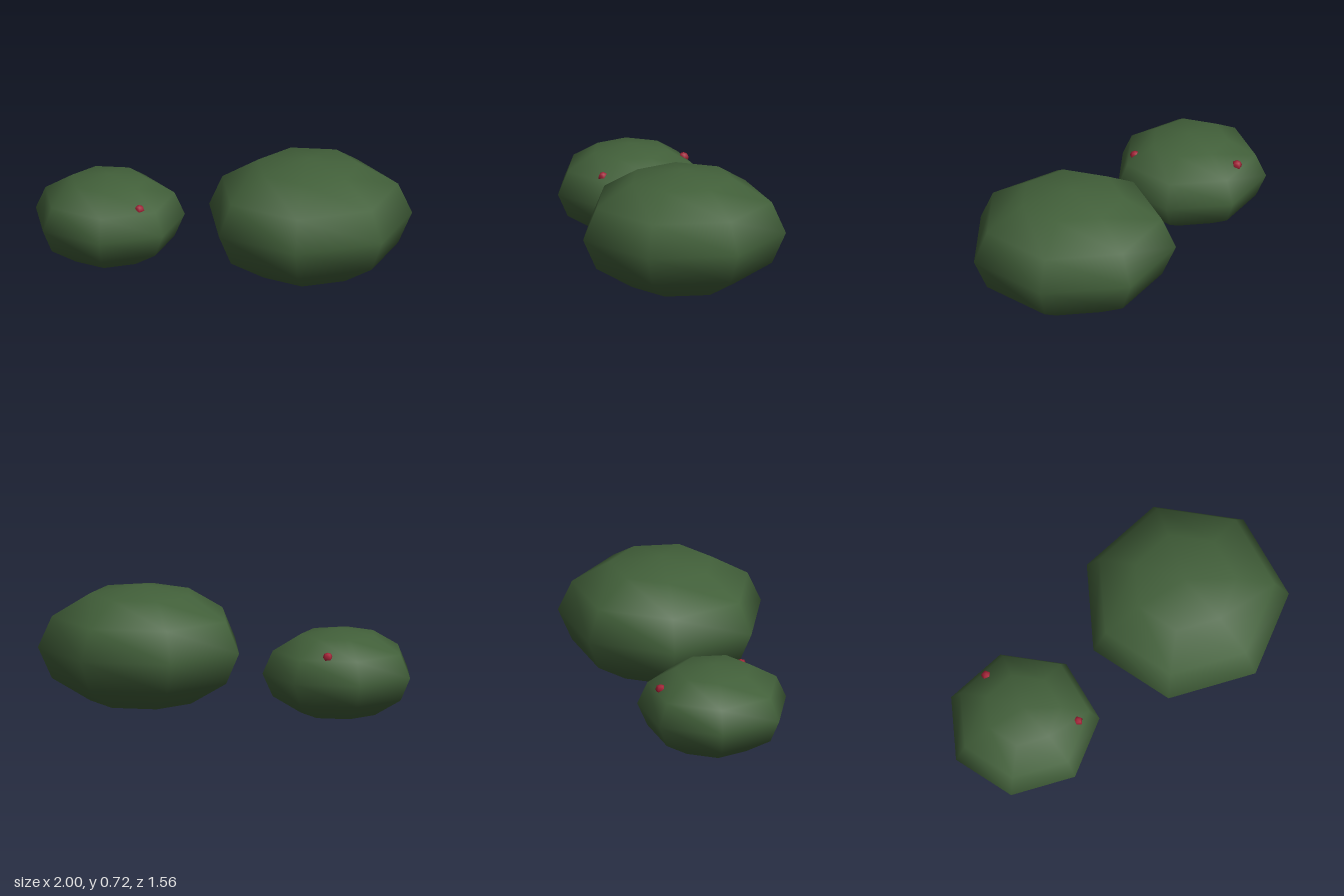
import * as THREE from 'three';

export function createModel() {
  const group = new THREE.Group();
  group.name = 'berryBushes';

  const leafGreen = new THREE.MeshStandardMaterial({ name: 'leafGreen', color: 0x42603a });
  const berryRed = new THREE.MeshStandardMaterial({ name: 'berryRed', color: 0xa02035 });

  // Flattened seven-sided bush resting on the ground, one corner to the back
  function addBush(name, x, z, radius) {
    const squash = 0.602;
    const bush = new THREE.Mesh(new THREE.SphereGeometry(radius, 7, 6), leafGreen);
    bush.name = name;
    bush.scale.y = squash;
    bush.rotation.y = -Math.PI / 2;
    bush.position.set(x, radius * squash, z);
    group.add(bush);
  }
  addBush('largeBush', 0.416, 0.244, 0.594);
  addBush('smallBush', -0.576, -0.349, 0.436);

  // Berries half sunk into the small bush
  const berryGeometry = new THREE.SphereGeometry(0.03, 5, 4);
  [
    ['backBerry', -0.43, 0.409, -0.63],
    ['frontBerry', -0.495, 0.407, -0.045],
  ].forEach(([name, x, y, z]) => {
    const berry = new THREE.Mesh(berryGeometry, berryRed);
    berry.name = name;
    berry.position.set(x, y, z);
    group.add(berry);
  });

  return group;
}
